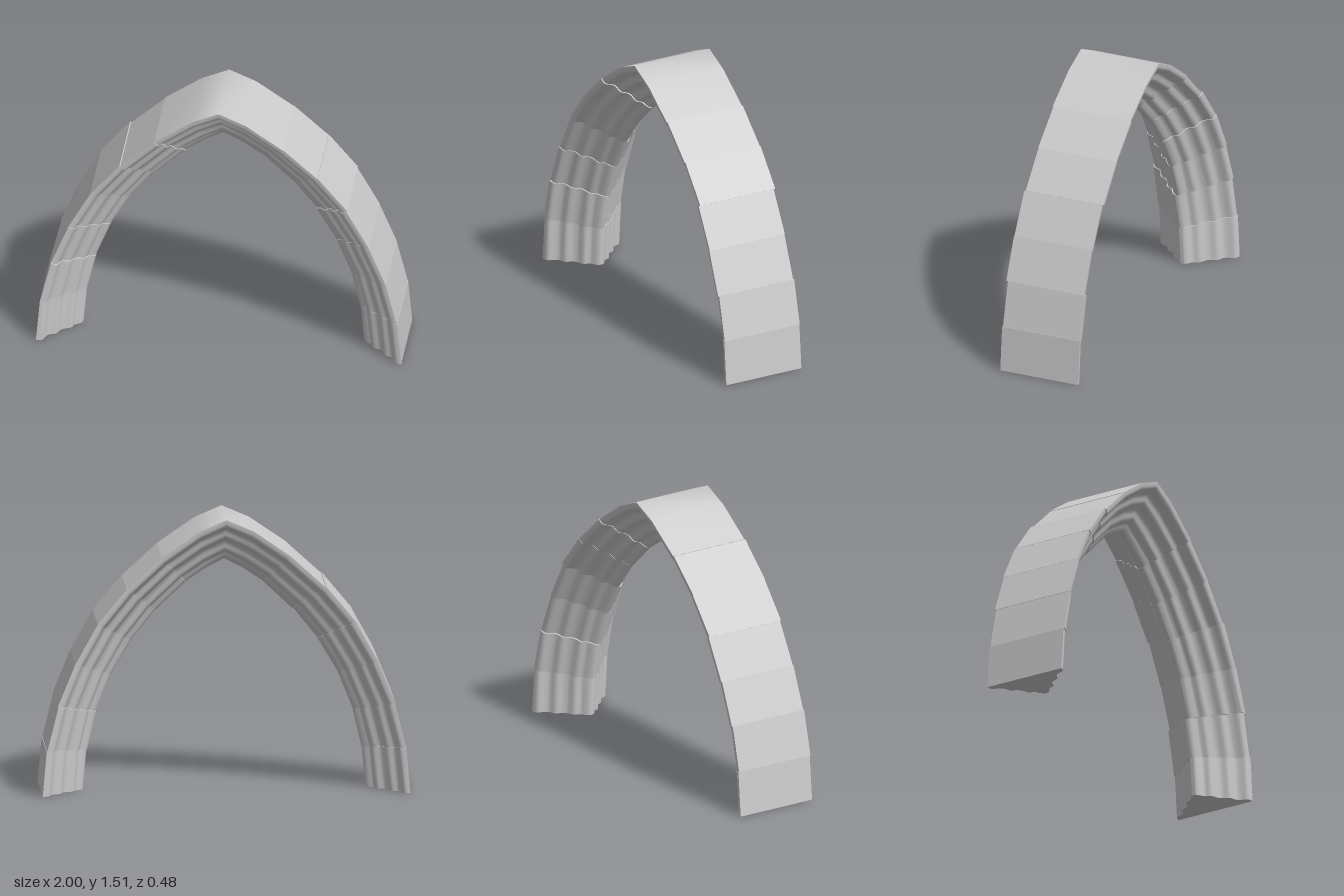
import * as THREE from 'three';
import { toCreasedNormals } from 'three/addons/utils/BufferGeometryUtils.js';

// Right half of the outer and inner curves, from foot to crown
const OUTER = [[1, 0], [0.978, 0.25], [0.917, 0.495], [0.822, 0.727], [0.7, 0.947], [0.54, 1.14], [0.353, 1.31], [0.15, 1.45], [0, 1.515]];
const INNER = [[0.768, 0], [0.748, 0.22], [0.698, 0.43], [0.615, 0.635], [0.505, 0.82], [0.372, 0.987], [0.21, 1.14], [0.1, 1.213], [0, 1.265]];

// Full curve, running from the left-hand side (-x) over the crown to +x
const mirrorPath = (half) => [
  ...half.slice(0, -1).map(([x, y]) => [-x, y]),
  ...half.slice().reverse(),
];

// Half of the moulding: [across, depth], three rolls stepping in to a rounded nose
const HALF = [
  [0.235, 0], [0.226, 0.032], [0.192, 0.046], [0.168, 0.062], [0.152, 0.098], [0.117, 0.114],
  [0.096, 0.134], [0.08, 0.17], [0.048, 0.184], [0.036, 0.2], [0.021, 0.219], [0, 0.228],
];
const DEPTH = 0.228;

function mouldingShape() {
  const mirrored = HALF.slice(0, -1).reverse().map(([a, d]) => [-a, d]);
  const curve = new THREE.SplineCurve([...HALF, ...mirrored].map(([a, d]) => new THREE.Vector2(a, d)));
  return new THREE.Shape(curve.getPoints(66));
}

// Stone blocks: first node, last node, sideways shift, outward shift
const BLOCKS = [
  [0, 1, 0, 0], [1, 2, 0.005, 0], [2, 3, -0.002, 0.002], [3, 4, -0.007, 0.003],
  [4, 5, -0.001, 0.004], [5, 6, 0.006, -0.002],
  [6, 10, 0, 0],
  [10, 11, -0.005, 0], [11, 12, -0.008, 0.002], [12, 13, 0.001, 0],
  [13, 14, 0.004, 0], [14, 15, -0.004, -0.003], [15, 16, 0, 0],
];

export function createModel() {
  const model = new THREE.Group();
  model.name = 'pointedArch';
  const material = new THREE.MeshStandardMaterial({ color: 0xcccccc });
  const outer = mirrorPath(OUTER);
  const inner = mirrorPath(INNER);
  const shape = mouldingShape();

  for (const [first, last, side, out] of BLOCKS) {
    // Extrude straight, then bend each ring onto its joint between the two curves
    const steps = last - first;
    const geometry = new THREE.ExtrudeGeometry(shape, { depth: steps, steps, bevelEnabled: false });
    const position = geometry.attributes.position;
    for (let i = 0; i < position.count; i++) {
      const node = first + Math.round(position.getZ(i));
      const t = (position.getY(i) - out) / DEPTH;
      const [ox, oy] = outer[node];
      const [ix, iy] = inner[node];
      position.setXYZ(i, ox + (ix - ox) * t, oy + (iy - oy) * t, position.getX(i) + side);
    }
    geometry.deleteAttribute('normal');
    const block = new THREE.Mesh(toCreasedNormals(geometry, 0.87), material);
    block.name = steps > 1 ? 'crownStone' : first < 8 ? 'rightArchStone' : 'leftArchStone';
    model.add(block);
  }
  return model;
}
